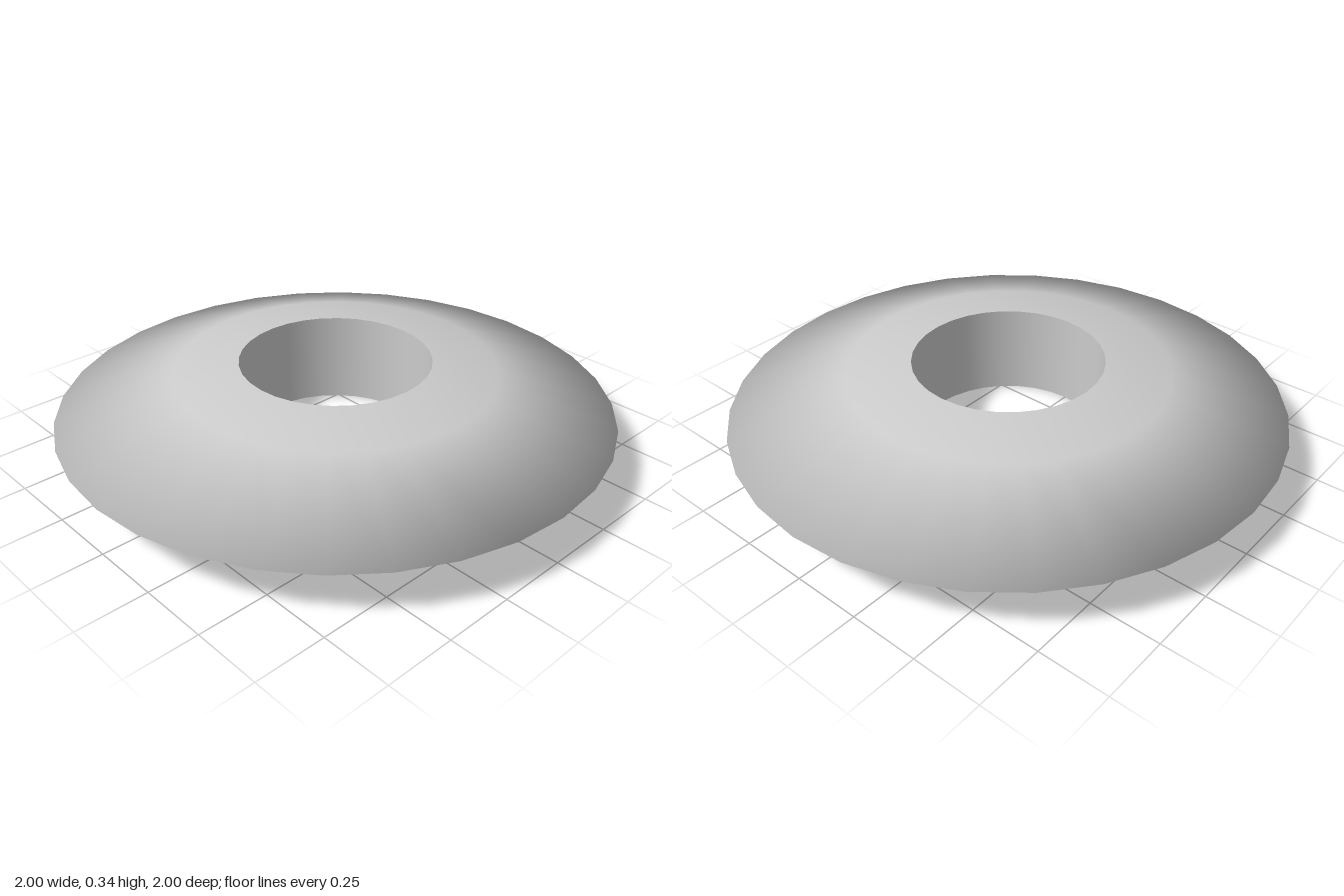
import * as THREE from 'three';

const SEGMENTS = 32;
const HEIGHT = 0.34;
const HOLE = 0.345;

export function createModel() {
  const group = new THREE.Group();
  group.name = 'ringDisc';
  const material = new THREE.MeshStandardMaterial({ color: 0xcccccc });

  // Turns a list of [radius, height] points around the y axis
  const addLathe = (name, profile) => {
    const points = profile.map(([r, y]) => new THREE.Vector2(r, y));
    const mesh = new THREE.Mesh(new THREE.LatheGeometry(points, SEGMENTS), material);
    mesh.name = name;
    group.add(mesh);
  };

  // Lens-shaped body, smooth across the sharp outer rim
  addLathe('discBody', [
    [HOLE, 0],
    [0.58, 0.033],
    [1, HEIGHT / 2],
    [0.58, HEIGHT - 0.033],
    [HOLE, HEIGHT],
  ]);

  // Straight wall of the centre hole, facing inward
  addLathe('holeWall', [
    [HOLE, HEIGHT],
    [HOLE, 0],
  ]);

  return group;
}
